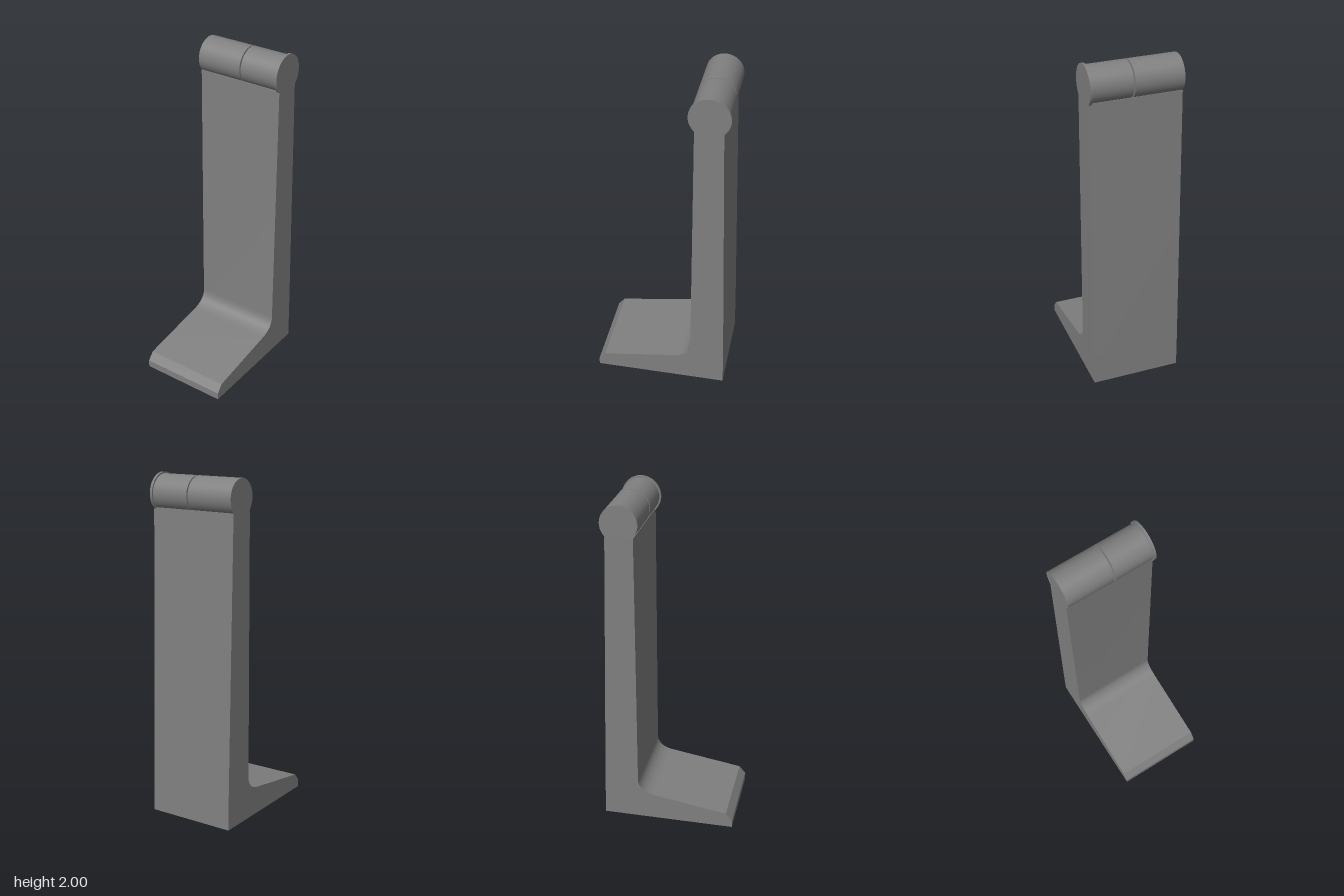
import * as THREE from 'three';
import { toCreasedNormals } from 'three/addons/utils/BufferGeometryUtils.js';

const LEFT = 0.267, RIGHT = -0.267;
const AXIS_Y = 1.884, AXIS_Z = -0.268;

export function createModel() {
  const model = new THREE.Group();
  model.name = 'hingedStand';
  const grey = new THREE.MeshStandardMaterial({ color: 0x808080 });
  grey.name = 'grey';

  // L-shaped body: side profile drawn with u = -z, extruded across x
  const profile = new THREE.Shape();
  profile.moveTo(-0.396, 0);
  profile.lineTo(0.396, 0);
  profile.lineTo(0.393, 0.2);
  profile.lineTo(0.347, 1.808);
  profile.lineTo(0.187, 1.808);
  profile.lineTo(0.187, 0.26);
  profile.bezierCurveTo(0.187, 0.205, 0.145, 0.17, 0.085, 0.163); // fillet
  profile.lineTo(-0.357, 0.092);
  profile.lineTo(-0.396, 0.045);
  profile.closePath();
  const bodyGeometry = new THREE.ExtrudeGeometry(profile, {
    depth: LEFT - RIGHT, bevelEnabled: false, curveSegments: 16,
  });
  bodyGeometry.rotateY(Math.PI / 2);
  bodyGeometry.translate(RIGHT, 0, 0);
  const body = new THREE.Mesh(toCreasedNormals(bodyGeometry, 0.3), grey);
  body.name = 'body';
  model.add(body);

  // Cylinders along the hinge axis
  function addBarrel(name, x0, x1, radius) {
    const geometry = new THREE.CylinderGeometry(radius, radius, x1 - x0, 64);
    geometry.rotateZ(-Math.PI / 2);
    const mesh = new THREE.Mesh(geometry, grey);
    mesh.name = name;
    mesh.position.set((x0 + x1) / 2, AXIS_Y, AXIS_Z);
    model.add(mesh);
  }
  addBarrel('rightBarrel', RIGHT, 0.015, 0.107);
  addBarrel('leftBarrel', 0.023, 0.253, 0.107);
  addBarrel('endCap', 0.252, LEFT, 0.116);

  return model;
}
